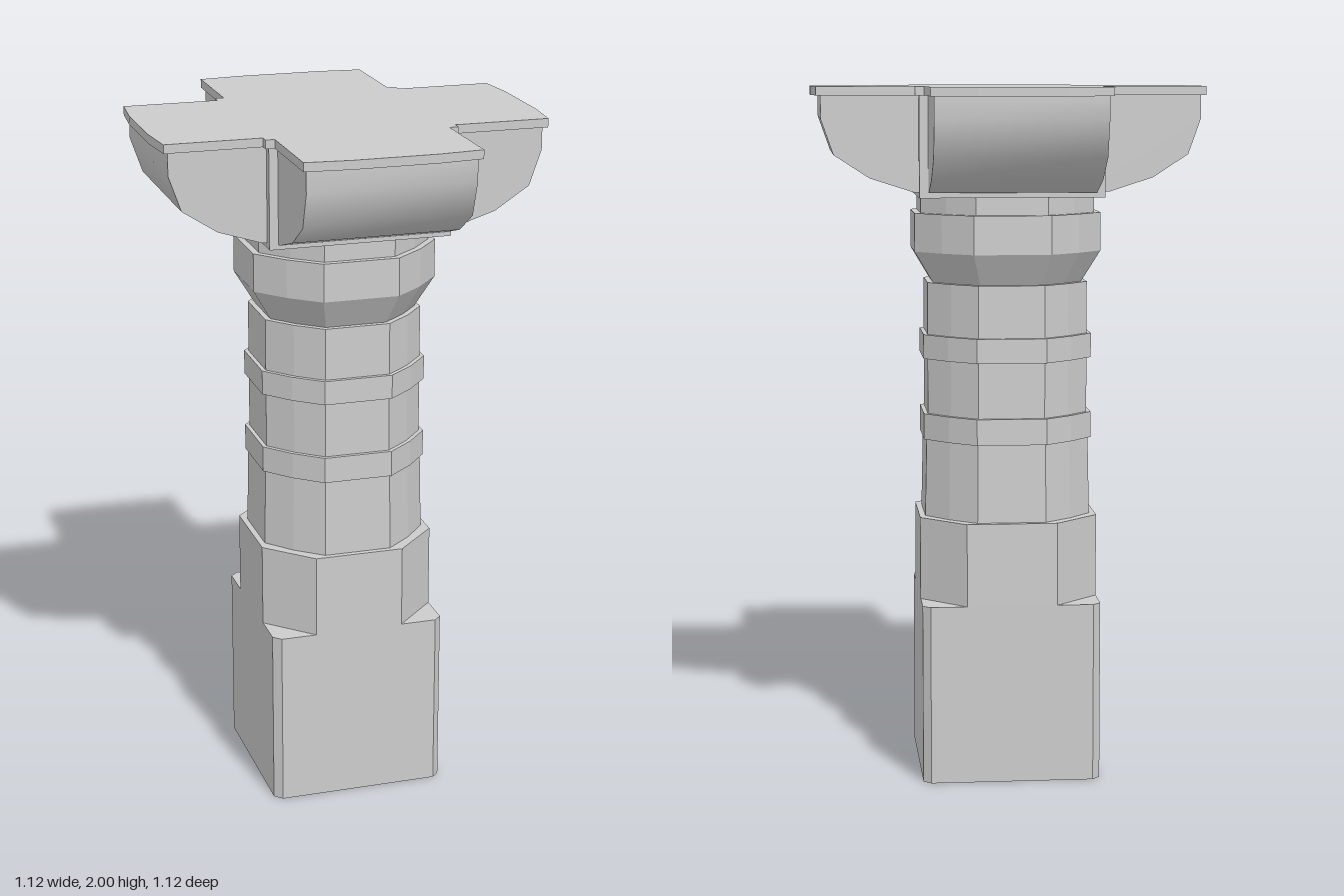
import * as THREE from 'three';
import { toCreasedNormals } from 'three/addons/utils/BufferGeometryUtils.js';

const material = new THREE.MeshStandardMaterial({ color: 0xcccccc });
const flat = new THREE.MeshStandardMaterial({ color: 0xcccccc, flatShading: true });

function add(parent, name, geometry, mat = flat) {
  const mesh = new THREE.Mesh(geometry, mat);
  mesh.name = name;
  parent.add(mesh);
  return mesh;
}

// Vertical prism from a plan outline
function prism(points, y0, y1) {
  const shape = new THREE.Shape(points.map(([x, z]) => new THREE.Vector2(x, z)));
  const g = new THREE.ExtrudeGeometry(shape, { depth: y1 - y0, bevelEnabled: false });
  return g.rotateX(-Math.PI / 2).translate(0, y0, 0);
}

// Repeats one quarter of an outline around the centre
function fourfold(quarter) {
  const out = [];
  for (let i = 0; i < 4; i++) {
    const c = Math.round(Math.cos(i * Math.PI / 2)), s = Math.round(Math.sin(i * Math.PI / 2));
    for (const [x, z] of quarter) out.push([x * c - z * s, x * s + z * c]);
  }
  return out;
}

// Square with its corners cut off
const cutSquare = (half, cut) => fourfold([[half, cut], [cut, half]]);

// Twelve-sided column part: levels are [y, half width], closed at both ends
const ring = fourfold([[1, 0.41], [0.73, 0.73], [0.41, 1]]);
function column(levels) {
  const n = ring.length, pos = [], index = [];
  for (const [y, r] of levels) for (const [x, z] of ring) pos.push(x * r, y, z * r);
  for (let l = 0; l < levels.length - 1; l++) {
    for (let i = 0; i < n; i++) {
      const a = l * n + i, b = l * n + (i + 1) % n;
      index.push(a, a + n, b, b, a + n, b + n);
    }
  }
  const top = (levels.length - 1) * n;
  for (let i = 1; i < n - 1; i++) {
    index.push(0, i, i + 1, top, top + i + 1, top + i);
  }
  const g = new THREE.BufferGeometry();
  g.setAttribute('position', new THREE.Float32BufferAttribute(pos, 3));
  g.setIndex(index);
  const out = g.toNonIndexed();
  out.computeVertexNormals();
  return out;
}

export function createModel() {
  const model = new THREE.Group();
  model.name = 'pillar';

  // Square foot that turns into an octagon
  add(model, 'base', prism(cutSquare(0.257, 0.235), 0, 0.52));
  add(model, 'baseOctagon', prism(cutSquare(0.257, 0.13), 0.52, 0.76));

  // Shaft with two raised bands
  add(model, 'lowerShaft', column([[0.76, 0.24], [0.99, 0.235]]));
  add(model, 'upperShaft', column([[0.99, 0.231], [1.44, 0.231]]));
  add(model, 'lowerBand', column([[0.985, 0.243], [1.06, 0.243]]));
  add(model, 'upperBand', column([[1.22, 0.243], [1.29, 0.243]]));

  // Flared collar and neck
  add(model, 'collar', column([[1.44, 0.215], [1.53, 0.268], [1.64, 0.268]]));
  add(model, 'neck', column([[1.64, 0.25], [1.692, 0.25]]));

  // Capital core, its corners showing between the brackets
  const core = add(model, 'capitalCore', new THREE.BoxGeometry(0.524, 0.285, 0.524));
  core.position.y = 1.8325;

  // Four brackets with a rounded underside
  const profile = new THREE.Shape([
    [0.2, 1.705], [0.275, 1.705], [0.4, 1.745], [0.5, 1.81], [0.535, 1.91], [0.535, 1.975], [0.2, 1.975],
  ].map(([x, y]) => new THREE.Vector2(x, y)));
  const bracket = toCreasedNormals(
    new THREE.ExtrudeGeometry(profile, { depth: 0.474, bevelEnabled: false }).translate(0, 0, -0.237), 0.75);
  for (let i = 0; i < 4; i++) {
    add(model, 'bracket', bracket, material).rotation.y = i * Math.PI / 2;
  }

  // Cross-shaped top slab with slightly bowed ends
  const cross = fourfold([
    [0.56, -0.12], [0.56, 0.12], [0.548, 0.248], [0.274, 0.248], [0.274, 0.274], [0.248, 0.274], [0.248, 0.548],
  ]);
  add(model, 'topSlab', prism(cross, 1.975, 2));

  return model;
}
